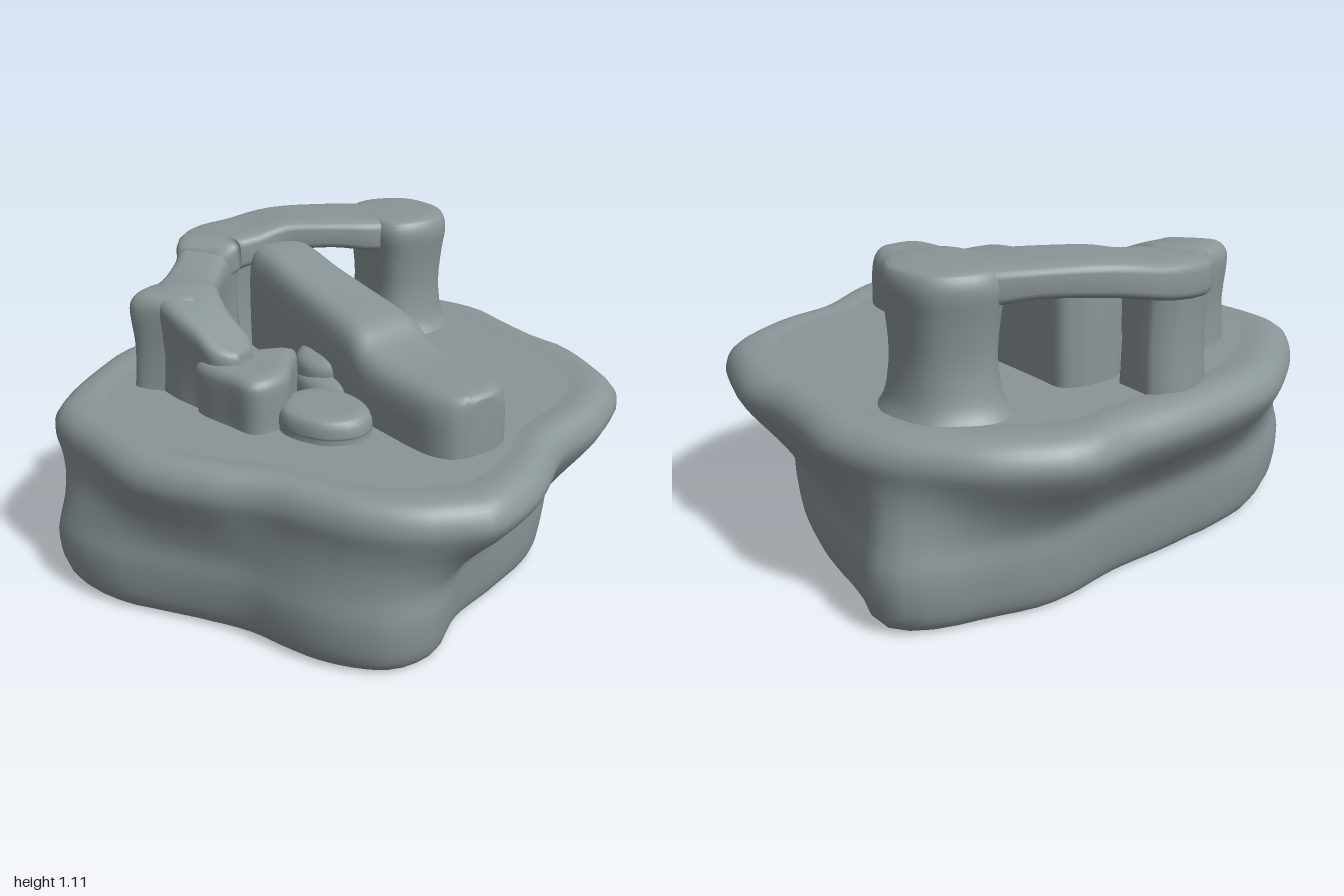
import * as THREE from 'three';

const stone = new THREE.MeshStandardMaterial({ color: 0x8a9597, side: THREE.DoubleSide });
stone.name = 'grey stone';

const GROUND = 0.643; // height of the plateau

// Skin a list of equal-length rings; closed rocks get end caps, faces wholly below the floor are left out
function skin(name, rings, closed, floor) {
  const n = rings[0].length, m = rings.length, pos = [], idx = [];
  const face = (...f) => {
    if (f.some(i => pos[i * 3 + 1] > floor)) idx.push(...f);
  };
  rings.forEach(r => r.forEach(p => pos.push(p.x, p.y, p.z)));
  for (let i = 0; i < m - 1; i++) for (let j = 0; j < n; j++) {
    const k = (j + 1) % n, a = i * n + j, b = i * n + k, c = a + n, d = b + n;
    face(a, c, b);
    face(b, c, d);
  }
  if (closed) [0, m - 1].forEach((row, end) => {
    const mid = new THREE.Vector3();
    rings[row].forEach(p => mid.addScaledVector(p, 1 / n));
    const c = pos.length / 3;
    pos.push(mid.x, mid.y, mid.z);
    for (let j = 0; j < n; j++) {
      const a = row * n + j, b = row * n + (j + 1) % n;
      face(c, end ? b : a, end ? a : b);
    }
  });
  const g = new THREE.BufferGeometry();
  g.setAttribute('position', new THREE.Float32BufferAttribute(pos, 3));
  g.setIndex(idx);
  g.computeVertexNormals();
  const mesh = new THREE.Mesh(g, stone);
  mesh.name = name;
  return mesh;
}

const spline = (pts, closed = false) => new THREE.CatmullRomCurve3(pts, closed, 'catmullrom', 0.5);

// Radii of a plan outline [x, z] around a centre, at n even angles
function radii(outline, cx, cz, n) {
  const pts = spline(outline.map(([x, z]) => new THREE.Vector3(x - cx, 0, z - cz)), true).getPoints(900);
  return Array.from({ length: n }, (_, j) => {
    const a = j / n * Math.PI * 2, dx = Math.cos(a), dz = Math.sin(a);
    let best = -2, r = 0;
    for (const p of pts) {
      const l = Math.hypot(p.x, p.z), dot = (p.x * dx + p.z * dz) / l;
      if (dot > best) { best = dot; r = l; }
    }
    return r;
  });
}

// Stack of plan outlines; levels are [y, scale, mix between low and high outline]
function block(name, cx, cz, high, levels, low = high, n = 40, closed = true) {
  const hi = radii(high, cx, cz, n), lo = radii(low, cx, cz, n);
  const path = spline(levels.map(([y, s, m = 1]) => new THREE.Vector3(s, y, m)));
  const rings = path.getPoints((levels.length - 1) * 3).map(l => hi.map((h, j) => {
    const a = j / n * Math.PI * 2, r = l.x * (lo[j] + (h - lo[j]) * l.z);
    return new THREE.Vector3(cx + Math.cos(a) * r, l.y, cz + Math.sin(a) * r);
  }));
  return skin(name, rings, closed, closed ? GROUND - 0.008 : -1);
}

// Rounded slab along a plan path; stations are [x, z, half width, bottom y, top y]
function ridge(name, stations, pinch = 0, floor = -1, n = 36) {
  const plan = spline(stations.map(s => new THREE.Vector3(s[0], s[2], s[1])));
  const span = spline(stations.map(s => new THREE.Vector3(s[3], s[4], 0)));
  const count = (stations.length - 1) * 4, rings = [];
  const soft = v => Math.sign(v) * Math.pow(Math.abs(v), 0.45);
  for (let i = 0; i <= count; i++) {
    const t = i / count, p = plan.getPoint(t), h = span.getPoint(t), d = plan.getTangent(t);
    const l = Math.hypot(d.x, d.z), sx = -d.z / l, sz = d.x / l;
    rings.push(Array.from({ length: n }, (_, j) => {
      const a = j / n * Math.PI * 2, v = soft(Math.sin(a));
      const w = soft(Math.cos(a)) * p.y * (1 - pinch * (1 - v * v));
      return new THREE.Vector3(p.x + sx * w, (h.x + h.y) / 2 + v * (h.y - h.x) / 2, p.z + sz * w);
    }));
  }
  return skin(name, rings, true, floor);
}

export function createModel() {
  const model = new THREE.Group();
  model.name = 'rockFormation';

  // Hollow base: overhanging rim, narrower three-cornered foot, underside left open
  const rim = [[0.97, 0], [0.99, 0.16], [0.95, 0.35], [0.88, 0.52], [0.73, 0.62], [0.6, 0.68], [0.4, 0.73],
    [0.2, 0.86], [0.08, 0.92], [-0.1, 0.965], [-0.22, 0.92], [-0.35, 0.85], [-0.47, 0.72], [-0.55, 0.58],
    [-0.63, 0.42], [-0.75, 0.28], [-0.85, 0.13], [-0.91, 0], [-0.93, -0.2], [-0.94, -0.46], [-0.85, -0.6],
    [-0.65, -0.76], [-0.45, -0.87], [-0.1, -0.93], [0.2, -0.945], [0.42, -0.97], [0.65, -0.86],
    [0.78, -0.73], [0.9, -0.58], [0.98, -0.38], [0.975, -0.2]];
  const foot = [[0.86, -0.1], [0.77, 0.22], [0.64, 0.39], [0.5, 0.53], [0.25, 0.62], [0, 0.69], [-0.2, 0.81],
    [-0.38, 0.8], [-0.52, 0.66], [-0.6, 0.49], [-0.66, 0.32], [-0.8, 0.1], [-0.95, -0.12], [-1, -0.35],
    [-0.92, -0.5], [-0.6, -0.68], [-0.2, -0.74], [0.1, -0.76], [0.4, -0.81], [0.62, -0.77], [0.84, -0.71],
    [0.94, -0.6], [0.9, -0.4]];
  model.add(block('hollowBase', 0, 0, rim, [
    [0.015, 0.8, 0], [0.005, 0.9, 0], [0.015, 0.955, 0], [0.08, 0.99, 0], [0.2, 1, 0.04], [0.3, 0.98, 0.18],
    [0.4, 0.975, 0.58], [0.48, 0.985, 0.88], [0.55, 1, 1], [0.605, 0.985, 1], [0.64, 0.945, 1],
    [0.65, 0.89, 1], [GROUND, 0.82, 1]], foot, 96, false));

  const pillarPlan = [[0.76, -0.42], [0.7, -0.3], [0.58, -0.265], [0.45, -0.31],
    [0.42, -0.45], [0.46, -0.62], [0.57, -0.665], [0.72, -0.59]];

  // Flat top, open below the pillar and the wall
  const flat = pts => pts.map(([x, z]) => new THREE.Vector2(x, -z));
  const lid = new THREE.Shape(flat(radii(rim, 0, 0, 96).map((r, j) => {
    const a = j / 96 * Math.PI * 2;
    return [Math.cos(a) * r * 0.82, Math.sin(a) * r * 0.82];
  })));
  const wallHole = [[-0.02, -0.74], [-0.18, -0.73], [-0.3, -0.62], [-0.48, -0.45], [-0.48, -0.3], [-0.48, -0.15],
    [-0.36, -0.15], [-0.35, -0.3], [-0.34, -0.4], [-0.2, -0.55], [-0.1, -0.63], [-0.02, -0.63]];
  [wallHole, pillarPlan].forEach(h => lid.holes.push(new THREE.Path(flat(h))));
  const plateau = new THREE.Mesh(new THREE.ShapeGeometry(lid).rotateX(-Math.PI / 2), stone);
  plateau.name = 'plateau';
  plateau.position.y = GROUND;
  model.add(plateau);

  // Sloping bar rising from front to back, its underside hanging into the hollow
  model.add(ridge('slopingRidge', [
    [0.08, 0.67, 0.05, 0.46, 0.84], [0.08, 0.64, 0.12, 0.43, 0.86], [0.08, 0.55, 0.16, 0.41, 0.865],
    [0.075, 0.36, 0.17, 0.41, 0.87], [0.07, 0.22, 0.17, 0.42, 0.895], [0.07, 0.12, 0.16, 0.43, 0.95],
    [0.075, -0.1, 0.15, 0.45, 0.98], [0.075, -0.3, 0.14, 0.47, 1.01], [0.075, -0.45, 0.135, 0.49, 1.04],
    [0.075, -0.56, 0.13, 0.5, 1.045], [0.075, -0.6, 0.06, 0.52, 1.03]]));

  // Free-standing pillar
  model.add(block('archPillar', 0.59, -0.45, pillarPlan, [
    [0.62, 1.2], [0.645, 1.1], [0.7, 0.96], [0.82, 0.88], [0.95, 0.93], [1.04, 1], [1.09, 0.95],
    [1.11, 0.8], [1.115, 0.3]]));

  // Bridge from the pillar to the curved wall
  model.add(ridge('archBridge', [
    [0.58, -0.46, 0.1, 1.0, 1.1], [0.48, -0.5, 0.15, 0.98, 1.11], [0.33, -0.58, 0.15, 1.0, 1.115],
    [0.15, -0.67, 0.14, 0.99, 1.115], [0, -0.7, 0.145, 0.96, 1.09], [-0.13, -0.7, 0.14, 0.94, 1.08],
    [-0.22, -0.63, 0.1, 0.92, 1.04]]));

  // Curved wall standing on the right half of the plateau
  model.add(ridge('curvedWall', [
    [0.02, -0.71, 0.08, 0.56, 1.06], [-0.04, -0.71, 0.14, 0.56, 1.08], [-0.14, -0.7, 0.145, 0.56, 1.075],
    [-0.24, -0.61, 0.125, 0.56, 1.03], [-0.34, -0.51, 0.13, 0.56, 1.01], [-0.41, -0.42, 0.15, 0.56, 1.01],
    [-0.43, -0.31, 0.135, 0.56, 0.99], [-0.425, -0.2, 0.115, 0.56, 0.95], [-0.41, -0.1, 0.11, 0.56, 0.9],
    [-0.39, -0.04, 0.05, 0.56, 0.87]], 0.25, GROUND - 0.008));
  model.add(block('wallCorner', -0.48, -0.43, [[-0.35, -0.42], [-0.42, -0.29], [-0.52, -0.35], [-0.61, -0.47],
    [-0.52, -0.54], [-0.4, -0.54]], [
    [0.62, 1.05], [0.66, 0.97], [0.8, 0.92], [0.92, 1], [0.97, 0.95], [1.0, 0.7], [1.005, 0.2]]));

  // Stepped rocks beside the wall
  const step = top => [[0.62, 1], [0.66, 0.98], [top - 0.06, 1], [top - 0.02, 0.95], [top, 0.75], [top, 0.2]];
  model.add(block('upperStep', -0.37, -0.03, [[-0.17, -0.07], [-0.24, 0.02], [-0.33, 0.12], [-0.46, 0.13],
    [-0.5, 0.02], [-0.53, -0.16], [-0.42, -0.2], [-0.3, -0.14]], step(0.84)));
  model.add(block('lowerStep', -0.24, 0.2, [[-0.09, 0.2], [-0.12, 0.33], [-0.22, 0.375], [-0.33, 0.31],
    [-0.38, 0.16], [-0.3, 0.04], [-0.15, 0.06]], step(0.73)));

  // Two-tier ledge around the bar
  const ledge = (rx, rz, cz) => Array.from({ length: 8 }, (_, i) => {
    const a = (i + 0.5) / 8 * Math.PI * 2;
    return [0.08 + Math.cos(a) * rx, cz + Math.sin(a) * rz];
  });
  model.add(block('lowerLedge', 0.08, -0.03, ledge(0.25, 0.22, -0.03), step(0.73)));
  model.add(block('upperLedge', 0.08, -0.07, ledge(0.23, 0.17, -0.07), step(0.785)));

  return model;
}
